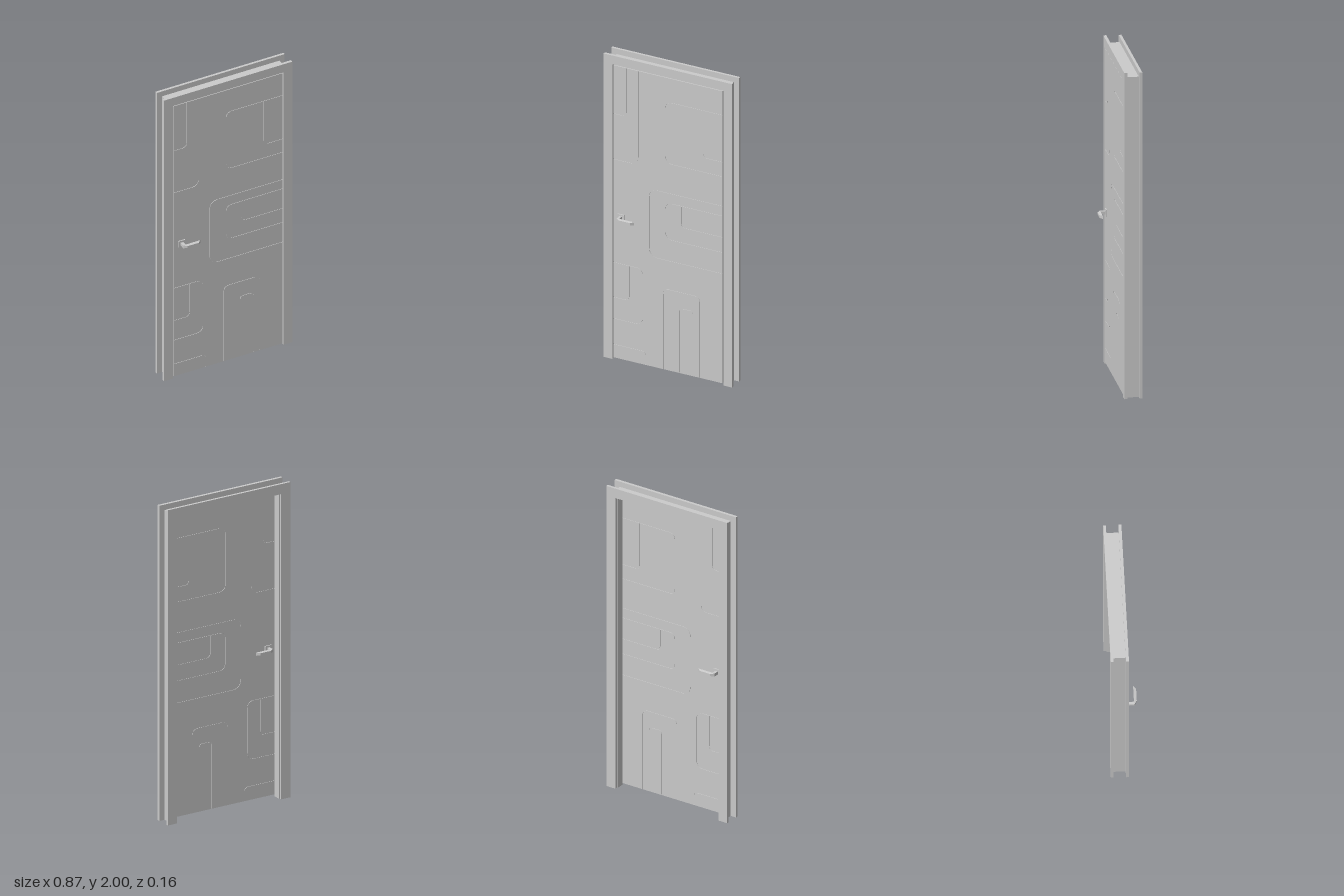
import * as THREE from 'three';

const material = new THREE.MeshStandardMaterial({ color: 0xcccccc });
const HALF = 0.367, BOTTOM = 0.012, TOP = 1.937; // door leaf outline
const FRONT = 0.023, BACK = -0.017, SKIN = 0.003; // leaf faces and groove depth
const GROOVE = 0.0035;

function addMesh(parent, name, geometry, x = 0, y = 0, z = 0) {
  const mesh = new THREE.Mesh(geometry, material);
  mesh.name = name;
  mesh.position.set(x, y, z);
  parent.add(mesh);
  return mesh;
}

function extrude(shape, depth) {
  return new THREE.ExtrudeGeometry(shape, { depth, bevelEnabled: false });
}

// Upside-down U: two legs and a head
function portal(outerX, outerTop, innerX, innerTop, depth) {
  const pts = [[-outerX, 0], [-innerX, 0], [-innerX, innerTop], [innerX, innerTop],
    [innerX, 0], [outerX, 0], [outerX, outerTop], [-outerX, outerTop]];
  return extrude(new THREE.Shape(pts.map(p => new THREE.Vector2(...p))), depth);
}

// Thin closed strip that follows a line with rounded corners
function grooveStrip(corners, radius) {
  const v = corners.map(c => new THREE.Vector2(...c));
  const path = new THREE.Path();
  path.moveTo(v[0].x, v[0].y);
  for (let i = 1; i < v.length - 1; i++) {
    const a = v[i].clone().add(v[i - 1].clone().sub(v[i]).setLength(radius));
    const b = v[i].clone().add(v[i + 1].clone().sub(v[i]).setLength(radius));
    path.lineTo(a.x, a.y);
    path.quadraticCurveTo(v[i].x, v[i].y, b.x, b.y);
  }
  path.lineTo(v[v.length - 1].x, v[v.length - 1].y);
  const pts = path.getPoints(8);
  const left = [], right = [];
  pts.forEach((p, i) => {
    const before = pts[Math.max(i - 1, 0)], after = pts[Math.min(i + 1, pts.length - 1)];
    const t = after.clone().sub(before).normalize();
    const n = new THREE.Vector2(-t.y, t.x).multiplyScalar(GROOVE / 2);
    left.push(p.clone().add(n));
    right.unshift(p.clone().sub(n));
  });
  return new THREE.Path([...left, ...right]);
}

// Leaf face with the decorative grooves cut through it
function leafSkin() {
  const R = HALF - 0.001, L = -R, T = TOP - 0.001, B = BOTTOM + 0.001;
  const grooves = [
    // upper right nested panels
    [[[R, 1.78], [-0.015, 1.78], [-0.015, 1.375], [R, 1.375]], 0.045],
    [[[0.24, 1.775], [0.24, 1.47], [R, 1.47]], 0.03],
    // upper left nested panels
    [[[L, 1.32], [-0.2, 1.32], [-0.2, T]], 0.045],
    [[[L, 1.62], [-0.28, 1.62], [-0.28, T]], 0.03],
    // middle nested panels
    [[[R, 1.18], [-0.125, 1.18], [-0.125, 0.735], [R, 0.735]], 0.06],
    [[[R, 1.115], [-0.015, 1.115], [-0.015, 0.875], [R, 0.875]], 0.045],
    [[[0.09, 1.11], [0.09, 0.975], [R, 0.975]], 0.03],
    // lower arch panels
    [[[-0.03, B], [-0.03, 0.545], [0.215, 0.545], [0.215, B]], 0.04],
    [[[0.08, B], [0.08, 0.44], [0.17, 0.44], [0.17, B]], 0.025],
    // lower left nested panels
    [[[L, 0.64], [-0.17, 0.64], [-0.17, 0.27], [L, 0.27]], 0.045],
    [[[-0.26, 0.635], [-0.26, 0.41], [L, 0.41]], 0.03],
    [[[L, 0.1], [-0.15, 0.1], [-0.15, B]], 0.03],
  ];
  const shape = new THREE.Shape([[-HALF, BOTTOM], [HALF, BOTTOM], [HALF, TOP], [-HALF, TOP]]
    .map(p => new THREE.Vector2(...p)));
  shape.holes = grooves.map(([corners, radius]) => grooveStrip(corners, radius));
  return extrude(shape, SKIN);
}

// Lever seen from above: square neck, bevelled elbow, slanted tip
function leverGeometry() {
  const height = 0.02;
  const pts = [[-0.009, 0.005], [0.008, 0.005], [0.008, 0.038], [0.107, 0.038],
    [0.088, 0.055], [0.013, 0.055], [-0.009, 0.04]];
  const shape = new THREE.Shape(pts.map(([x, z]) => new THREE.Vector2(x, -z)));
  const geometry = extrude(shape, height);
  geometry.rotateX(-Math.PI / 2).translate(0, -height / 2, 0);
  // narrow the grip towards its outer side
  const pos = geometry.attributes.position;
  for (let i = 0; i < pos.count; i++) {
    if (pos.getZ(i) > 0.05) pos.setY(i, pos.getY(i) * 0.7);
  }
  geometry.computeVertexNormals();
  return geometry;
}

function makeHandle(name) {
  const handle = new THREE.Group();
  handle.name = name;
  addMesh(handle, 'rosette', new THREE.BoxGeometry(0.044, 0.044, 0.007), 0, 0, 0.0035);
  addMesh(handle, 'lever', leverGeometry());
  return handle;
}

export function createModel() {
  const model = new THREE.Group();
  model.name = 'door';

  // Frame: trims on both sides, lining and door stop
  const frame = new THREE.Group();
  frame.name = 'frame';
  addMesh(frame, 'frontCasing', portal(0.433, 2, 0.374, 1.942, 0.018), 0, 0, 0.007);
  addMesh(frame, 'backCasing', portal(0.431, 2, 0.367, 1.937, 0.016), 0, 0, -0.083);
  addMesh(frame, 'jamb', portal(0.395, 1.965, 0.374, 1.942, 0.074), 0, 0, -0.067);
  addMesh(frame, 'doorStop', portal(0.374, 1.942, 0.361, 1.929, 0.049), 0, 0, -0.067);
  model.add(frame);

  // Leaf: solid core between two grooved faces
  const leaf = new THREE.Group();
  leaf.name = 'doorLeaf';
  addMesh(leaf, 'leafCore',
    new THREE.BoxGeometry(HALF * 2, TOP - BOTTOM, FRONT - BACK - SKIN * 2),
    0, (TOP + BOTTOM) / 2, (FRONT + BACK) / 2);
  const skin = leafSkin();
  addMesh(leaf, 'frontPanel', skin, 0, 0, FRONT - SKIN);
  addMesh(leaf, 'backPanel', skin, 0, 0, BACK);
  model.add(leaf);

  // Lever handles on both faces
  const frontHandle = makeHandle('frontHandle');
  frontHandle.position.set(-0.315, 0.945, FRONT);
  const backHandle = makeHandle('backHandle');
  backHandle.position.set(-0.315, 0.945, BACK);
  backHandle.rotation.x = Math.PI;
  model.add(frontHandle, backHandle);

  return model;
}
